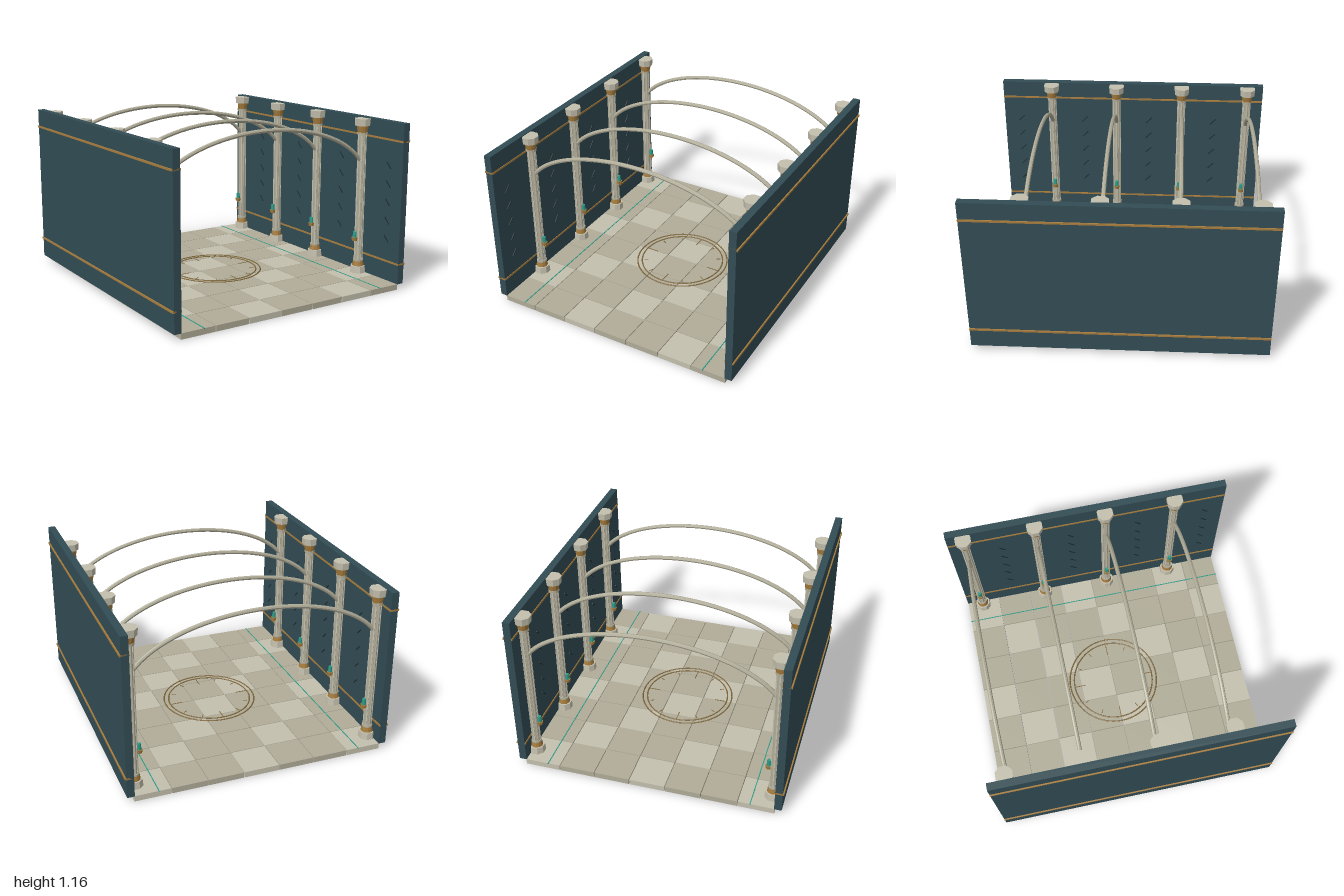
import * as THREE from 'three';

const mat = (color, extra = {}) => new THREE.MeshStandardMaterial({ color, ...extra });
const stoneLight = mat(0xc4c0ae, { flatShading: true });
const stoneDark = mat(0xb0ac98, { flatShading: true });
const wallTeal = mat(0x324c54);
const slotDark = mat(0x1c2a2e);
const brass = mat(0xa67c3d, { flatShading: true });
const floorBrass = mat(0x80683c);
const glowTeal = mat(0x2a9c8a, { flatShading: true });

function add(parent, name, geometry, material, x = 0, y = 0, z = 0) {
  const mesh = new THREE.Mesh(geometry, material);
  mesh.name = name;
  mesh.position.set(x, y, z);
  parent.add(mesh);
  return mesh;
}
const box = (w, h, d) => new THREE.BoxGeometry(w, h, d);

// Cylinder standing between two heights, with a flat side facing the hall
function drum(parent, name, rTop, rBottom, y0, y1, material, sides = 8) {
  const g = new THREE.CylinderGeometry(rTop, rBottom, y1 - y0, sides);
  g.rotateY(Math.PI / sides);
  return add(parent, name, g, material, 0, (y0 + y1) / 2, 0);
}

// Paving slabs with open seams
function makeFloor() {
  const floor = new THREE.Group();
  floor.name = 'floor';
  for (let i = 0; i < 7; i++) {
    for (let j = 0; j < 8; j++) {
      const material = (i + j) % 3 === 0 ? stoneLight : stoneDark;
      add(floor, 'floorSlab', box(0.245, 0.04, 0.245), material, (i - 3) * 0.25, 0.02, (j - 3.5) * 0.25);
    }
  }
  for (const s of [-1, 1]) add(floor, 'floorStrip', box(0.006, 0.006, 2), glowTeal, s * 0.71, 0.04, 0);
  return floor;
}

// Dial set in the middle of the floor
function makeDial() {
  const dial = new THREE.Group();
  dial.name = 'floorDial';
  for (const r of [0.335, 0.302]) {
    const ring = new THREE.TorusGeometry(r, 0.005, 6, 64);
    ring.rotateX(Math.PI / 2);
    add(dial, 'dialRing', ring, floorBrass, 0, 0.041, 0);
  }
  for (let i = 0; i < 12; i++) {
    const length = i % 3 === 0 ? 0.08 : 0.03;
    const r = i % 3 === 0 ? 0.255 : 0.27;
    const a = (i / 12) * Math.PI * 2;
    const tick = add(dial, 'dialTick', box(length, 0.006, 0.005), floorBrass, Math.cos(a) * r, 0.04, -Math.sin(a) * r);
    tick.rotation.y = a;
  }
  return dial;
}

// Side wall with two brass bands and slanted slots on its inner face
function makeWall(side) {
  const wall = new THREE.Group();
  wall.name = side > 0 ? 'leftWall' : 'rightWall';
  add(wall, 'wallPanel', box(0.05, 1.125, 2), wallTeal, side * 0.895, 0.6025, 0);
  for (const y of [0.18, 1.04]) add(wall, 'wallBand', box(0.064, 0.013, 2), brass, side * 0.897, y, 0);
  for (const z of [-0.63, -0.13, 0.37, 0.87]) {
    for (let k = 0; k < 5; k++) {
      const slot = add(wall, 'wallSlot', box(0.006, 0.006, 0.06), slotDark, side * 0.869, 0.34 + k * 0.13, z);
      slot.rotation.x = 0.8;
    }
  }
  return wall;
}

// Ribbed column with octagonal base and capital, and a small lamp
function makeColumn(side, z) {
  const column = new THREE.Group();
  column.name = 'column';
  drum(column, 'columnBase', 0.054, 0.058, 0.04, 0.09, stoneLight);
  drum(column, 'baseCollar', 0.036, 0.042, 0.09, 0.125, brass, 12);
  drum(column, 'baseRing', 0.037, 0.037, 0.125, 0.138, stoneDark, 12);
  drum(column, 'columnShaft', 0.027, 0.028, 0.13, 1.06, stoneDark, 12);
  for (let i = 0; i < 8; i++) {
    const a = (i / 8) * Math.PI * 2;
    const rib = add(column, 'shaftRib', box(0.008, 0.92, 0.008), stoneLight, Math.cos(a) * 0.027, 0.595, -Math.sin(a) * 0.027);
    rib.rotation.y = a;
  }
  drum(column, 'neckRing', 0.037, 0.037, 1.045, 1.062, stoneDark, 12);
  drum(column, 'capitalCollar', 0.043, 0.035, 1.062, 1.11, brass, 12);
  drum(column, 'capital', 0.06, 0.056, 1.11, 1.16, stoneLight);

  // Lamp on the side facing the hall
  const lamp = new THREE.Group();
  lamp.name = 'lamp';
  lamp.position.x = 0.04;
  drum(lamp, 'lampHolder', 0.023, 0.019, 0.278, 0.302, brass);
  drum(lamp, 'lampGlass', 0.013, 0.015, 0.3, 0.345, glowTeal);
  column.add(lamp);

  column.position.set(side * 0.838, 0, z);
  if (side > 0) column.rotation.y = Math.PI;
  return column;
}

// Shallow elliptical rib spanning between a pair of columns
function makeArch(z) {
  const points = [];
  const end = Math.acos(0.82 / 0.88);
  for (let i = 0; i <= 24; i++) {
    const a = Math.PI - end - (i / 24) * (Math.PI - 2 * end);
    points.push(new THREE.Vector3(0.88 * Math.cos(a), 0.713 + 0.427 * Math.sin(a), 0));
  }
  const arch = new THREE.Group();
  arch.name = 'archRib';
  add(arch, 'archTube', new THREE.TubeGeometry(new THREE.CatmullRomCurve3(points), 48, 0.0145, 8), stoneDark, 0, 0, z);
  return arch;
}

export function createModel() {
  const model = new THREE.Group();
  model.name = 'archedCorridor';
  model.add(makeFloor(), makeDial());
  for (const side of [-1, 1]) model.add(makeWall(side));
  for (const z of [-0.88, -0.38, 0.12, 0.62]) {
    model.add(makeColumn(-1, z), makeColumn(1, z), makeArch(z));
  }
  return model;
}
